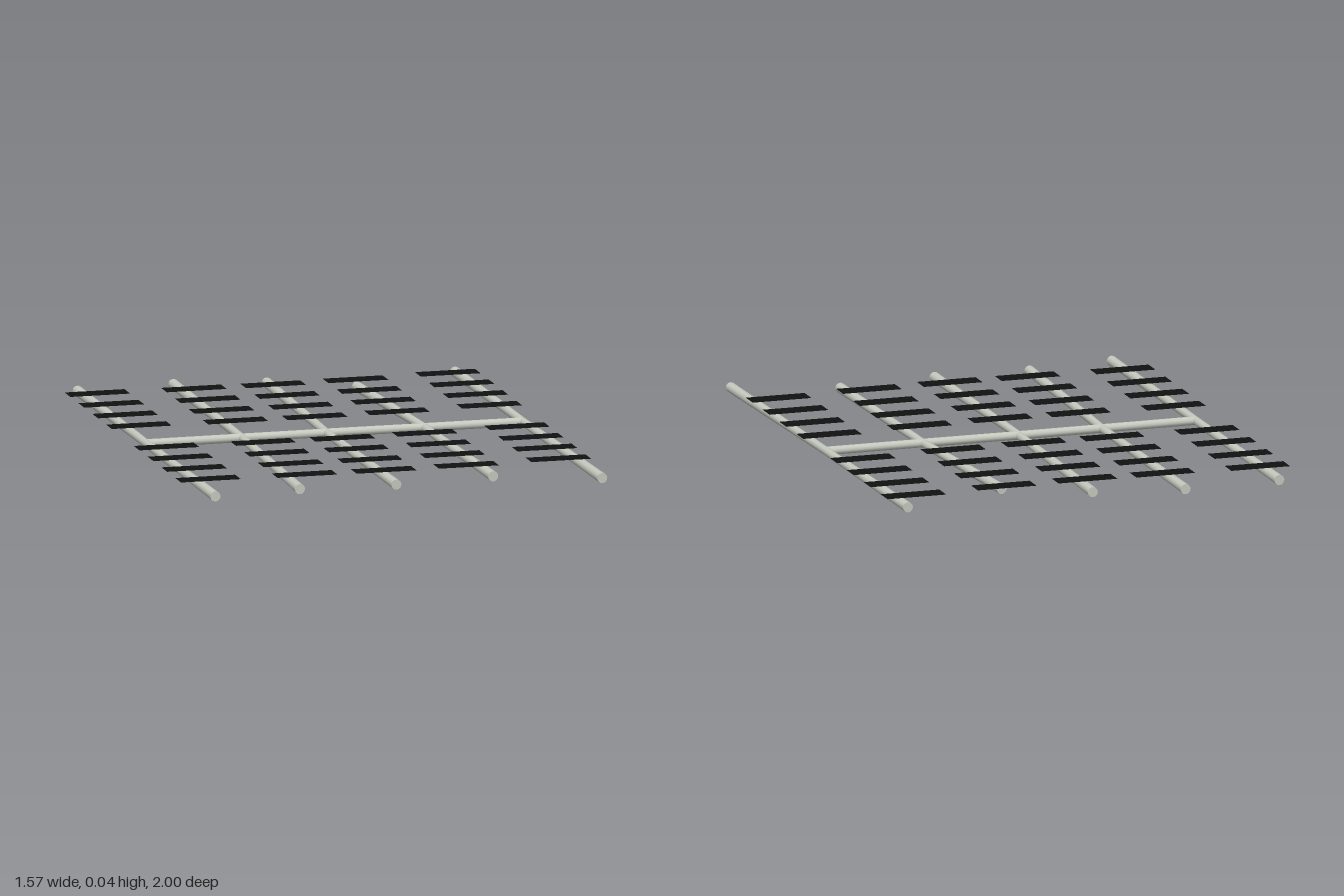
import * as THREE from 'three';

const TUBE_Y = 0.019;
const tubeMat = new THREE.MeshStandardMaterial({ color: 0xc6cabf });
const panelMat = new THREE.MeshStandardMaterial({ color: 0x111111, side: THREE.DoubleSide });

// Closed round tube lying flat from [x, z] to [x, z]
function tube(name, from, to, rFrom, rTo) {
  const a = new THREE.Vector3(from[0], TUBE_Y, from[1]);
  const b = new THREE.Vector3(to[0], TUBE_Y, to[1]);
  const dir = b.clone().sub(a);
  const mesh = new THREE.Mesh(new THREE.CylinderGeometry(rTo, rFrom, dir.length(), 12), tubeMat);
  mesh.name = name;
  mesh.position.copy(a).add(b).multiplyScalar(0.5);
  mesh.quaternion.setFromUnitVectors(new THREE.Vector3(0, 1, 0), dir.normalize());
  return mesh;
}

export function createModel() {
  const model = new THREE.Group();
  model.name = 'slattedFrame';

  // One entry per rail: back end, joint on the crossbar, front end, middle of its panel column
  const rails = [
    { back: [-0.675, -0.985], joint: [-0.692, -0.04], front: [-0.709, 0.91], panels: [-0.659, -0.07] },
    { back: [-0.31, -1.0], joint: [-0.333, -0.037], front: [-0.38, 0.873], panels: [-0.302, -0.049] },
    { back: [0.021, -0.93], joint: [-0.015, -0.034], front: [-0.024, 0.897], panels: [-0.007, -0.038] },
    { back: [0.315, -0.775], joint: [0.35, -0.026], front: [0.352, 0.857], panels: [0.303, -0.038] },
    { back: [0.727, -0.92], joint: [0.72, -0.021], front: [0.722, 0.997], panels: [0.655, -0.053] },
  ];

  const panelGeo = new THREE.PlaneGeometry(0.224, 0.08).rotateX(-Math.PI / 2);

  rails.forEach((r, i) => {
    // Rail in two halves, slightly thicker at the free ends
    const rail = new THREE.Group();
    rail.name = `rail${i + 1}`;
    rail.add(tube('backRail', r.joint, r.back, 0.015, 0.019));
    rail.add(tube('frontRail', r.joint, r.front, 0.015, 0.019));
    model.add(rail);

    // Eight thin panels on the rail, with a gap at the crossbar
    const column = new THREE.Group();
    column.name = `panelColumn${i + 1}`;
    column.position.set(r.panels[0], 2 * TUBE_Y + 0.001, r.panels[1]);
    column.rotation.y = -0.02;
    for (let k = -4; k <= 4; k++) {
      if (k === 0) continue;
      const panel = new THREE.Mesh(panelGeo, panelMat);
      panel.name = 'panel';
      panel.position.z = k * 0.1915;
      column.add(panel);
    }
    model.add(column);
  });

  // Crossbar running from joint to joint
  const crossbar = new THREE.Group();
  crossbar.name = 'crossbar';
  for (let i = 0; i < rails.length - 1; i++) {
    crossbar.add(tube('crossbarSegment', rails[i].joint, rails[i + 1].joint, 0.016, 0.016));
  }
  model.add(crossbar);

  return model;
}
